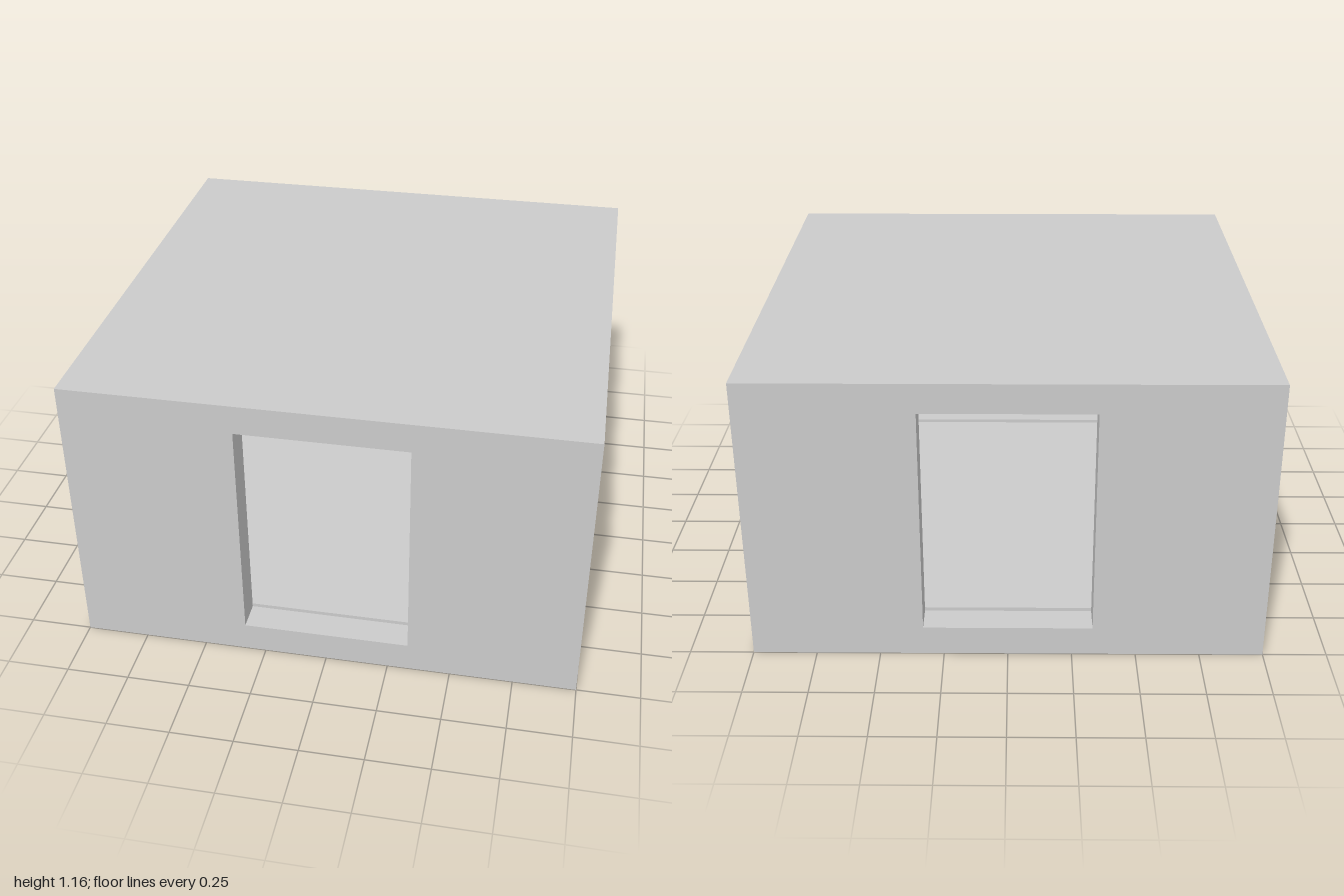
import * as THREE from 'three';

const HEIGHT = 1.165, SLAB = 0.12, CEILING = 1.047, WALL = 0.117, DOOR = 0.33;

export function createModel() {
  const group = new THREE.Group();
  const material = new THREE.MeshStandardMaterial({ color: 0xcccccc, flatShading: true });

  const add = (name, geometry, y) => {
    const mesh = new THREE.Mesh(geometry, material);
    mesh.name = name;
    mesh.position.y = y;
    group.add(mesh);
    return mesh;
  };

  // Extrudes a plan outline upwards from y = 0
  const extrudeUp = (shape, height) =>
    new THREE.ExtrudeGeometry(shape, { depth: height, bevelEnabled: false }).rotateX(-Math.PI / 2);

  const square = (Type, r) =>
    new Type([[-r, -r], [r, -r], [r, r], [-r, r]].map(([x, y]) => new THREE.Vector2(x, y)));

  // Floor and roof slabs
  add('floor', new THREE.BoxGeometry(2, SLAB, 2), SLAB / 2);
  add('roof', new THREE.BoxGeometry(2, HEIGHT - CEILING, 2), (HEIGHT + CEILING) / 2);

  // L-shaped corner walls, leaving a doorway in the middle of each side
  const inner = 1 - WALL;
  const corner = new THREE.Shape([
    [1, 1], [DOOR, 1], [DOOR, inner], [inner, inner], [inner, DOOR], [1, DOOR],
  ].map(([x, y]) => new THREE.Vector2(x, y)));
  const cornerGeometry = extrudeUp(corner, CEILING - SLAB);
  for (let i = 0; i < 4; i++) {
    add('cornerWall' + (i + 1), cornerGeometry, SLAB).rotation.y = (i * Math.PI) / 2;
  }

  // Low raised border around the inside of the room
  const border = square(THREE.Shape, inner);
  border.holes.push(square(THREE.Path, 0.8));
  add('floorBorder', extrudeUp(border, 0.015), SLAB);

  return group;
}
